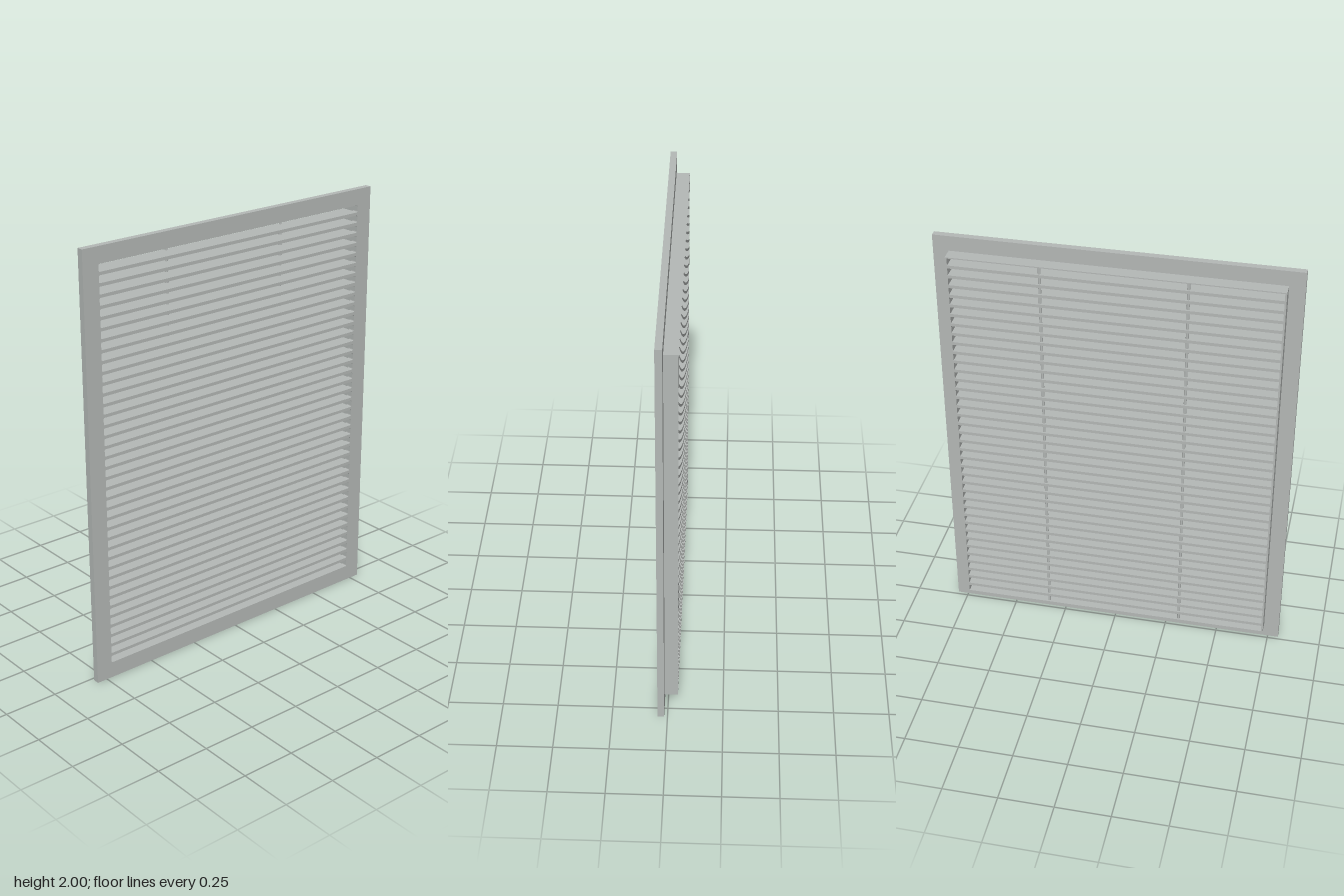
import * as THREE from 'three';

const SLOTS = 39, PITCH = 0.0478, GAP = 0.0334;   // slot rhythm
const HALF_W = 0.722, MID_Y = 1;                  // slot half width, grille centre
const BACK = -0.045, STEP = 0.015, FRONT = 0.045; // depth levels

// Rectangle outline with optional rounded corners
function rect(path, x0, y0, x1, y1, r = 0) {
  if (!r) {
    path.moveTo(x0, y0).lineTo(x1, y0).lineTo(x1, y1).lineTo(x0, y1).closePath();
    return path;
  }
  path.moveTo(x0 + r, y0);
  path.lineTo(x1 - r, y0).quadraticCurveTo(x1, y0, x1, y0 + r);
  path.lineTo(x1, y1 - r).quadraticCurveTo(x1, y1, x1 - r, y1);
  path.lineTo(x0 + r, y1).quadraticCurveTo(x0, y1, x0, y1 - r);
  path.lineTo(x0, y0 + r).quadraticCurveTo(x0, y0, x0 + r, y0);
  return path;
}

export function createModel() {
  const group = new THREE.Group();
  group.name = 'ventGrille';
  const grey = new THREE.MeshStandardMaterial({ color: 0xb4b8b6 });
  grey.name = 'lightGrey';

  const add = (name, geometry, x, y, z) => {
    const mesh = new THREE.Mesh(geometry, grey);
    mesh.name = name;
    mesh.position.set(x, y, z);
    group.add(mesh);
  };
  const extrude = (shape, depth) =>
    new THREE.ExtrudeGeometry(shape, { depth, bevelEnabled: false, curveSegments: 3 });

  // Front plate with a column of rounded slots
  const plate = rect(new THREE.Shape(), -0.8, 0, 0.8, 2);
  for (let i = 0; i < SLOTS; i++) {
    const y = MID_Y + (i - (SLOTS - 1) / 2) * PITCH;
    plate.holes.push(rect(new THREE.Path(), -HALF_W, y - GAP / 2, HALF_W, y + GAP / 2, 0.006));
  }
  add('frontPlate', extrude(plate, FRONT - STEP), 0, 0, STEP);

  // Thin-walled collar behind the plate
  const halfH = ((SLOTS - 1) * PITCH + GAP) / 2;
  const collar = rect(new THREE.Shape(), -0.73, 0.07, 0.73, 1.93);
  collar.holes.push(rect(new THREE.Path(), -HALF_W, MID_Y - halfH, HALF_W, MID_Y + halfH));
  add('rearCollar', extrude(collar, STEP - BACK), 0, 0, BACK);

  // Slats carry the bars between the slots back through the collar
  const slat = new THREE.BoxGeometry(HALF_W * 2, PITCH - GAP, STEP - BACK);
  for (let i = 0; i < SLOTS - 1; i++) {
    add('slat', slat, 0, MID_Y + (i - (SLOTS - 2) / 2) * PITCH, (STEP + BACK) / 2);
  }

  // Upright rods threaded through the slats near the back
  const rod = new THREE.CylinderGeometry(0.0065, 0.0065, halfH * 2, 12);
  for (const side of [-1, 1]) add('supportRod', rod, side * 0.32, MID_Y, -0.032);

  return group;
}
